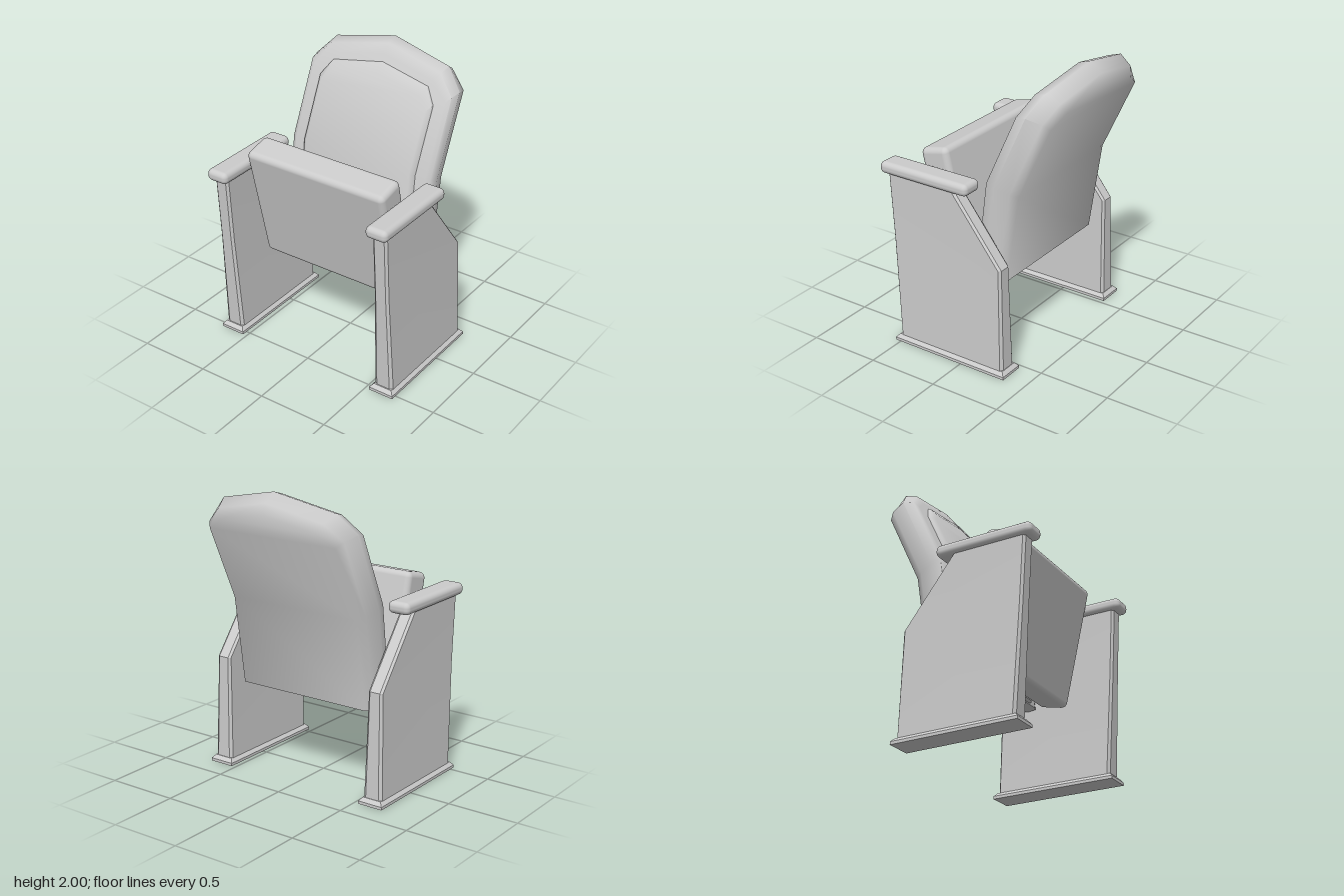
import * as THREE from 'three';
import { toCreasedNormals } from 'three/addons/utils/BufferGeometryUtils.js';
import { RoundedBoxGeometry } from 'three/addons/geometries/RoundedBoxGeometry.js';

const grey = new THREE.MeshStandardMaterial({ color: 0xcccccc });

function add(parent, name, geometry, x = 0, y = 0, z = 0) {
  const mesh = new THREE.Mesh(geometry, grey);
  mesh.name = name;
  mesh.position.set(x, y, z);
  parent.add(mesh);
  return mesh;
}

// Closed solid through equal rings of [x, y, z]; each cap is a strip
// joining point i with its opposite point n - 1 - i.
function loft(rings, crease) {
  const n = rings[0].length, last = rings.length - 1, pos = [];
  const tri = (a, b, c) => pos.push(...a, ...b, ...c);
  const quad = (a, b, c, d) => {
    if (b !== c) tri(a, b, c);
    tri(a, c, d);
  };
  for (let k = 0; k < last; k++) {
    for (let i = 0; i < n; i++) {
      const j = (i + 1) % n;
      quad(rings[k][i], rings[k][j], rings[k + 1][j], rings[k + 1][i]);
    }
  }
  for (let i = 0; i < Math.floor((n - 1) / 2); i++) {
    const e = rings[last], s = rings[0];
    quad(e[i], e[i + 1], e[n - 2 - i], e[n - 1 - i]);
    const [a, b, c, d] = [s[i], s[i + 1], s[n - 2 - i], s[n - 1 - i]];
    tri(a, d, c);
    if (b !== c) tri(a, c, b);
  }
  const geometry = new THREE.BufferGeometry();
  geometry.setAttribute('position', new THREE.Float32BufferAttribute(pos, 3));
  return toCreasedNormals(geometry, crease);
}

// Backrest: the rear face leans back and bends at y = 1.21; layers are [depth, inset].
function leaningX(y, depth) {
  const rear = 0.32 + (y - 1.21) * (y > 1.21 ? 0.459 : 0.15);
  const thin = y < 1.28 ? 0.85 + 0.15 * (y - 0.59) / 0.69 : 1;
  return rear + depth * thin;
}

function backSolid(half, layers) {
  const rings = layers.map(([depth, inset]) => {
    const side = half.map(([z, y, drop]) => {
      const yy = (y === 1.21 ? y - depth * 0.28 : y) - inset * drop;
      return [leaningX(yy, depth), yy, z && -(z - inset * 0.5)];
    });
    const mirrored = side.slice(0, -1).reverse().map(([x, y, z]) => [x, y, -z]);
    return [...side, ...mirrored];
  });
  return loft(rings, 1.0);
}

export function createModel() {
  const model = new THREE.Group();
  model.name = 'foldingTheatreSeat';

  // Backrest shell and its front pad; half outlines are [z, y, inset share in y]
  const backrest = new THREE.Group();
  backrest.name = 'backrest';
  model.add(backrest);
  add(backrest, 'backShell', backSolid(
    [[0.56, 0.59, 0], [0.56, 1.21, 0], [0.56, 1.78, 0.5], [0.44, 1.91, 0.9], [0, 2, 1]],
    [[-0.254, 0.085], [-0.24, 0.025], [-0.17, 0], [-0.055, 0.06], [0, 0.13]]));
  add(backrest, 'backCushion', backSolid(
    [[0.44, 0.6, 0], [0.44, 1.21, 0], [0.44, 1.7, 0.5], [0.37, 1.8, 0.9], [0, 1.865, 1]],
    [[-0.292, 0.055], [-0.27, 0], [-0.2, 0]]));

  // Folded-up seat
  const seat = add(model, 'seat', new RoundedBoxGeometry(0.215, 0.86, 1.07, 3, 0.04), -0.225, 0.98, 0);
  seat.rotation.z = 0.228;

  // Side panel: slim above y = 0.76, flaring towards the floor, with chamfered edges
  const outline = [[0.32, 0.03], [0.3, 0.76], [-0.06, 1.22], [-0.58, 1.22], [-0.553, 0.76], [-0.51, 0.03]];
  const panel = loft([[-1, 0.015], [-0.7, 0], [0.7, 0], [1, 0.015]].map(([t, inset]) =>
    outline.map(([x, y]) => {
      const thickness = 0.053 + 0.017 * Math.max(0, (0.76 - y) / 0.73);
      return [x - Math.sign(x + 0.1) * inset, y, t * thickness];
    })), 0.4);

  // Floor plate with sloping upper edge
  const plate = loft([[0, 0], [0.02, 0], [0.045, 0.022]].map(([y, inset]) => {
    const x0 = -0.54 + inset, x1 = 0.345 - inset, z = 0.09 - inset;
    return [[x0, y, -z], [x0, y, z], [x1, y, z], [x1, y, -z]];
  }), 0.4);

  const armrest = new RoundedBoxGeometry(0.69, 0.082, 0.16, 3, 0.035);

  for (const [side, s] of [['front', 1], ['back', -1]]) {
    const support = new THREE.Group();
    support.name = side + 'SideSupport';
    support.position.z = 0.62 * s;
    model.add(support);
    add(support, 'sidePanel', panel);
    add(support, 'floorPlate', plate);
    add(support, 'armrest', armrest, -0.285, 1.252, 0);
  }
  return model;
}
